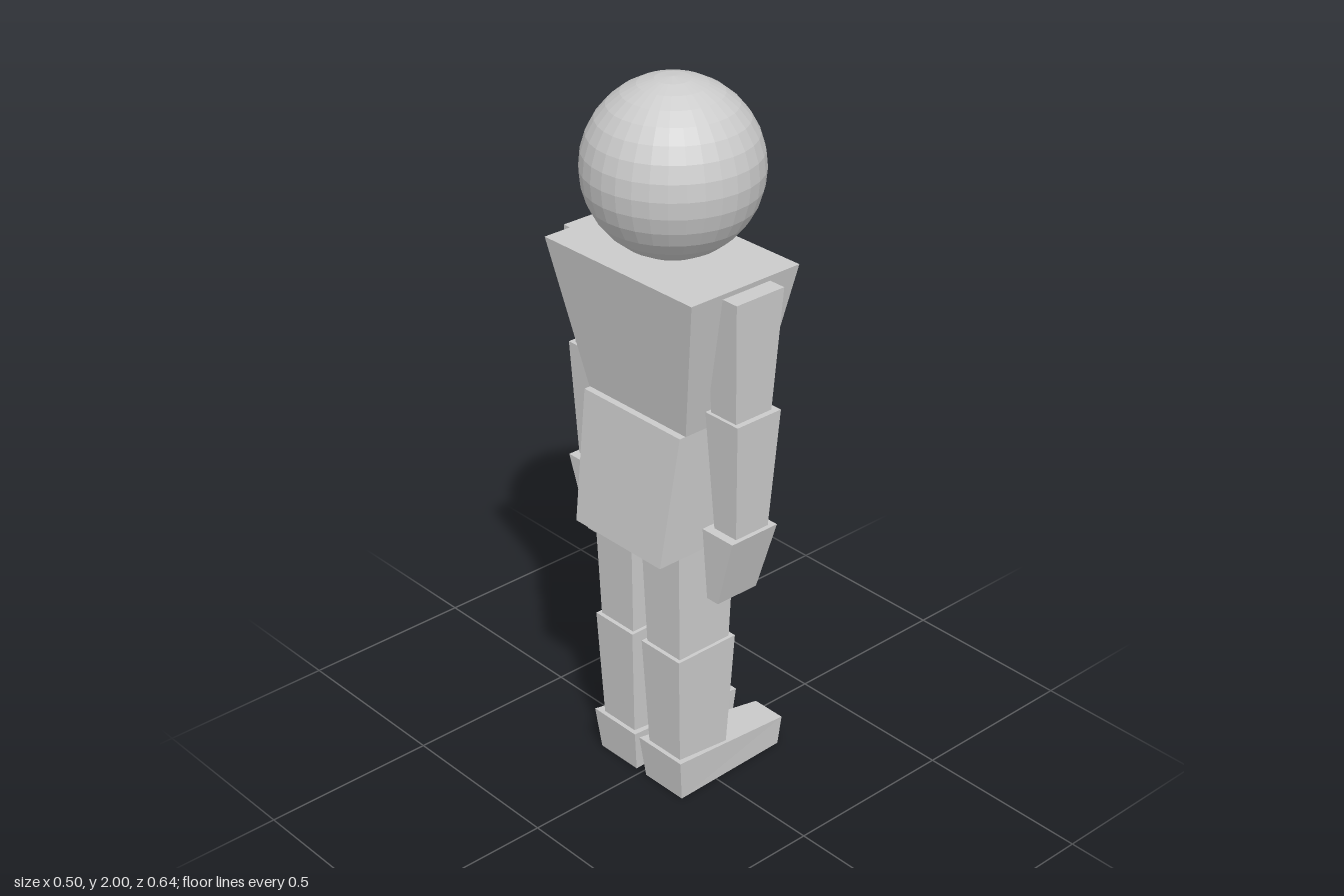
import * as THREE from 'three';

const material = new THREE.MeshStandardMaterial({ color: 0xcccccc, flatShading: true });

// Six-sided block; corner(i, j, k) gives the position for the low (0) or high (1) x, y, z corner
function hexahedron(name, corner) {
  const geometry = new THREE.BoxGeometry(1, 1, 1);
  const p = geometry.attributes.position;
  for (let n = 0; n < p.count; n++) {
    const pick = [p.getX(n), p.getY(n), p.getZ(n)].map((v) => (v > 0 ? 1 : 0));
    p.setXYZ(n, ...corner(...pick));
  }
  geometry.computeVertexNormals();
  const mesh = new THREE.Mesh(geometry, material);
  mesh.name = name;
  return mesh;
}

// Tapered block between two rectangles, each given as { y, x: [min, max], z: [min, max] }
function taperedBlock(name, bottom, top) {
  return hexahedron(name, (i, j, k) => {
    const r = j ? top : bottom;
    return [r.x[i], r.y, r.z[k]];
  });
}

// Arm on the +z (side = 1) or -z (side = -1) side
function createArm(name, side) {
  const arm = new THREE.Group();
  arm.name = name;
  const rect = (y, x, inner, outer) => ({ y, x, z: side > 0 ? [inner, outer] : [-outer, -inner] });
  arm.add(
    taperedBlock('upperArm', rect(1.185, [-0.08, 0.04], 0.215, 0.304), rect(1.525, [-0.098, 0.06], 0.21, 0.32)),
    taperedBlock('forearm', rect(0.85, [-0.075, 0.035], 0.225, 0.304), rect(1.19, [-0.09, 0.058], 0.204, 0.32)),
    taperedBlock('hand', rect(0.65, [-0.09, 0.045], 0.215, 0.256), rect(0.858, [-0.1, 0.056], 0.207, 0.317)),
  );
  return arm;
}

// Leg with a foot that points along +x
function createLeg(name, z) {
  const leg = new THREE.Group();
  leg.name = name;
  leg.add(
    taperedBlock('thigh', { y: 0.44, x: [-0.135, 0.04], z: [0.033, 0.16] }, { y: 0.775, x: [-0.145, 0.052], z: [0.022, 0.167] }),
    taperedBlock('shin', { y: 0.1, x: [-0.13, 0.038], z: [0.035, 0.156] }, { y: 0.45, x: [-0.147, 0.054], z: [0.023, 0.17] }),
  );
  // Wedge-shaped foot: wide tall heel, narrow low toe
  const heel = { x: [-0.13, -0.145], y: [0, 0.127], z: [[0.018, 0.163], [0.008, 0.174]] };
  const toe = { x: [0.24, 0.25], y: [0, 0.086], z: [[0.06, 0.153], [0.054, 0.157]] };
  leg.add(hexahedron('foot', (i, j, k) => {
    const end = i ? toe : heel;
    return [end.x[j], end.y[j], end.z[j][k]];
  }));
  leg.position.z = z;
  return leg;
}

export function createModel() {
  const model = new THREE.Group();
  model.name = 'figure';

  // Head
  const head = new THREE.Mesh(new THREE.SphereGeometry(0.231, 32, 16), material);
  head.name = 'head';
  head.position.set(-0.023, 1.769, 0.011);
  model.add(head);

  // Torso
  model.add(
    taperedBlock('chest', { y: 1.133, x: [-0.143, 0.098], z: [-0.177, 0.19] }, { y: 1.54, x: [-0.202, 0.156], z: [-0.27, 0.274] }),
    taperedBlock('abdomen', { y: 0.768, x: [-0.213, 0.105], z: [-0.157, 0.171] }, { y: 1.133, x: [-0.162, 0.088], z: [-0.174, 0.189] }),
  );

  // Limbs
  model.add(
    createArm('rightArm', 1),
    createArm('leftArm', -1),
    createLeg('rightLeg', 0),
    createLeg('leftLeg', -0.184),
  );
  return model;
}
